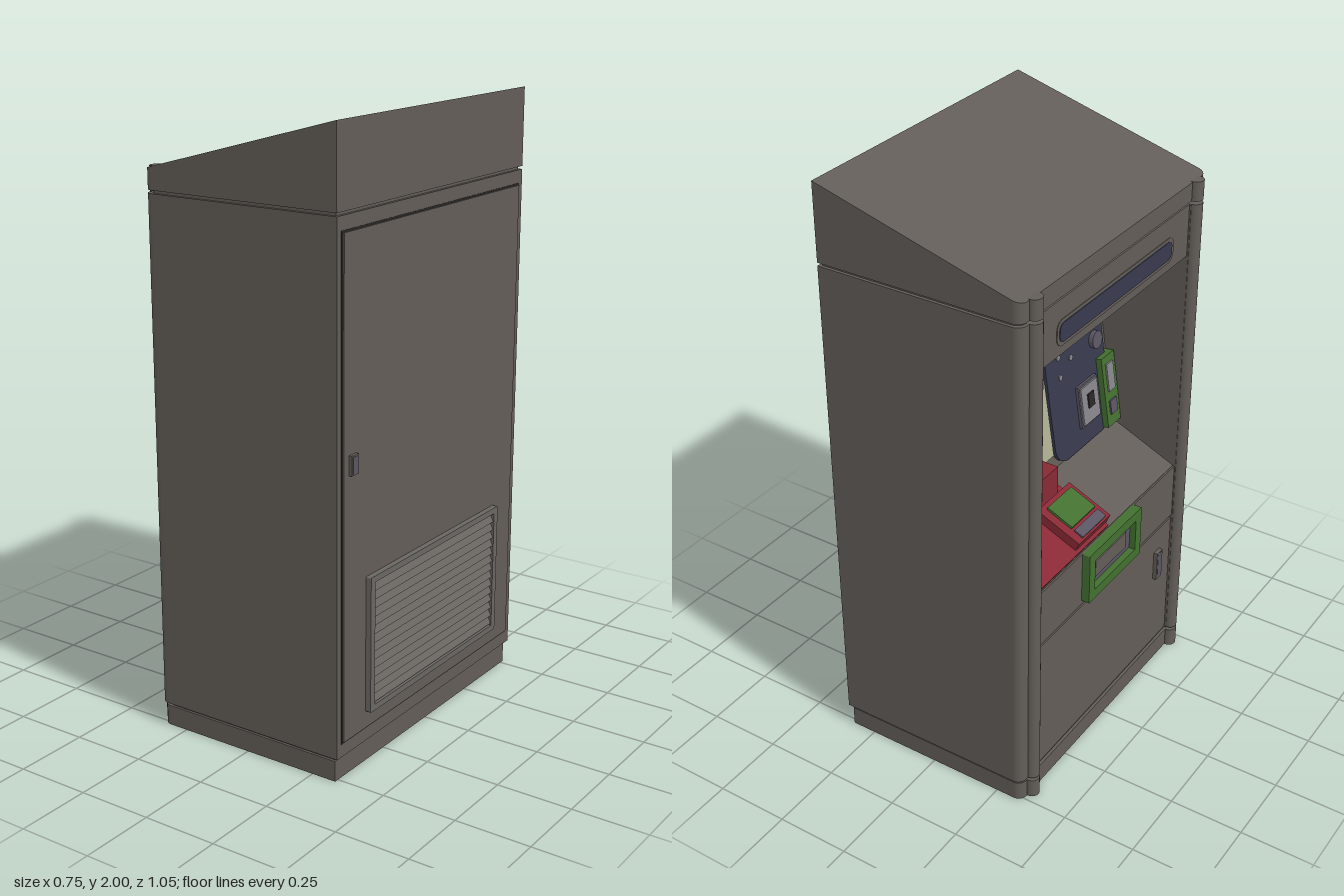
import * as THREE from 'three';

const mat = (name, color) => {
  const m = new THREE.MeshStandardMaterial({ color });
  m.name = name;
  return m;
};

export function createModel() {
  const grey = mat('cabinet grey', 0x625d58);
  const ventGrey = mat('vent grey', 0x6a6762);
  const steel = mat('fitting steel', 0x85858a);
  const dark = mat('seam dark', 0x2a2927);
  const navy = mat('panel navy', 0x383a4e);
  const red = mat('counter red', 0x882a35);
  const green = mat('trim green', 0x437030);
  const cream = mat('screen cream', 0xb0b094);
  const mauve = mat('slot mauve', 0x5a5562);
  const root = new THREE.Group();

  const add = (parent, name, geo, m, x = 0, y = 0, z = 0) => {
    const mesh = new THREE.Mesh(geo, m);
    mesh.name = name;
    mesh.position.set(x, y, z);
    parent.add(mesh);
    return mesh;
  };
  // box resting on the local z = base plane
  const plate = (parent, name, m, w, h, d, x, y, base = 0) =>
    add(parent, name, new THREE.BoxGeometry(w, h, d), m, x, y, base + d / 2);
  // a working plane: local x runs across, local y up the surface, local z outward
  const surface = (name, x, y, turn, tilt = 0) => {
    const g = new THREE.Group();
    g.name = name;
    g.position.set(x, y, 0);
    g.rotation.set(-tilt, turn, 0, 'YXZ');
    root.add(g);
    return g;
  };
  const roundRect = (w, h, r) => {
    const s = new THREE.Shape(), a = w / 2, b = h / 2;
    s.moveTo(-a + r, -b);
    s.lineTo(a - r, -b);
    s.absarc(a - r, -b + r, r, -Math.PI / 2, 0);
    s.lineTo(a, b - r);
    s.absarc(a - r, b - r, r, 0, Math.PI / 2);
    s.lineTo(-a + r, b);
    s.absarc(-a + r, b - r, r, Math.PI / 2, Math.PI);
    s.lineTo(-a, -b + r);
    s.absarc(-a + r, -b + r, r, Math.PI, Math.PI * 1.5);
    return s;
  };
  const rectPath = (w, h) => {
    const a = w / 2, b = h / 2;
    return new THREE.Path([[-a, -b], [-a, b], [a, b], [a, -b]].map(p => new THREE.Vector2(...p)));
  };
  const extrude = (shape, depth) =>
    new THREE.ExtrudeGeometry(shape, { depth, bevelEnabled: false, curveSegments: 8 });
  const frame = (parent, name, m, w, h, iw, ih, d, x, y) => {
    const s = roundRect(w, h, 0.004);
    s.holes.push(rectPath(iw, ih));
    return add(parent, name, extrude(s, d), m, x, y);
  };

  // floor plan with rounded corners on the service side; optional bay cut into that side
  const plan = (x0, x1, hz, r, bay) => {
    const s = new THREE.Shape();
    s.moveTo(x1, -hz);
    s.lineTo(x1, hz);
    s.lineTo(x0 + r, hz);
    s.absarc(x0 + r, hz - r, r, Math.PI / 2, Math.PI);
    if (bay) [[x0, bay.z], [bay.x, bay.z], [bay.x, -bay.z], [x0, -bay.z]].forEach(p => s.lineTo(...p));
    s.lineTo(x0, -hz + r);
    s.absarc(x0 + r, -hz + r, r, Math.PI, Math.PI * 1.5);
    s.lineTo(x1, -hz);
    return s;
  };
  const upright = (shape, y0, y1) => {
    const g = extrude(shape, y1 - y0);
    g.rotateX(-Math.PI / 2);
    return g.translate(0, y0, 0);
  };

  // hollow plinth and recessed gaps
  const plinth = plan(-0.345, 0.335, 0.515, 0.03);
  plinth.holes.push(rectPath(0.58, 0.93));
  add(root, 'plinth', upright(plinth, 0, 0.068), grey);
  add(root, 'lowerGap', upright(plan(-0.335, 0.33, 0.507, 0.03), 0.06, 0.085), grey);
  add(root, 'upperGap', upright(plan(-0.338, 0.338, 0.513, 0.03), 1.73, 1.755), grey);

  // shell with open bay
  const outer = [-0.348, 0.348, 0.523, 0.03];
  add(root, 'shell', upright(plan(...outer, { x: 0.02, z: 0.43 }), 0.08, 1.737), grey);

  // roof cap, top moved onto a slope
  const cap = upright(plan(...outer), 1.747, 1.9);
  const p = cap.attributes.position;
  for (let i = 0; i < p.count; i++)
    if (p.getY(i) > 1.8) p.setY(i, 1.81 + (p.getX(i) + 0.348) * (0.19 / 0.696));
  cap.computeVertexNormals();
  add(root, 'roofCap', cap, grey);

  // corner posts in three lengths
  for (const side of [-1, 1])
    for (const [y0, y1] of [[0, 0.068], [0.08, 1.737], [1.747, 1.812]])
      add(root, 'cornerPost', new THREE.CylinderGeometry(0.025, 0.025, y1 - y0, 24), grey,
        -0.348, (y0 + y1) / 2, side * 0.457);

  // inner cabinet: front, sloping counter, leaning back panel
  const profile = new THREE.Shape([[-0.338, 0.08], [0.03, 0.08], [0.03, 1.56], [0, 1.56],
    [-0.1, 0.88], [-0.338, 0.775]].map(q => new THREE.Vector2(...q)));
  add(root, 'counterCabinet', extrude(profile, 0.86), grey, 0, 0, -0.43);

  // service front: door, handle, tray, sign
  const front = surface('serviceFront', -0.338, 0, -Math.PI / 2);
  plate(front, 'lowerDoor', grey, 0.85, 0.478, 0.006, 0, 0.326);
  plate(front, 'upperApron', grey, 0.86, 0.2, 0.006, 0, 0.673);
  plate(front, 'handleRim', grey, 0.036, 0.11, 0.02, 0.333, 0.425);
  plate(front, 'handle', mauve, 0.026, 0.098, 0.021, 0.333, 0.425);
  frame(front, 'trayFrame', green, 0.325, 0.186, 0.255, 0.115, 0.034, -0.002, 0.68);
  plate(front, 'trayBack', mauve, 0.26, 0.12, 0.012, -0.002, 0.68);
  plate(front, 'trayFlap', grey, 0.19, 0.06, 0.016, -0.002, 0.675);
  add(root, 'signBox', new THREE.BoxGeometry(0.37, 0.177, 0.86), grey, -0.158, 1.6485, 0);
  add(front, 'signRim', extrude(roundRect(0.67, 0.085, 0.03), 0.007), grey, 0, 1.63, 0);
  add(front, 'signDisplay', extrude(roundRect(0.645, 0.062, 0.022), 0.009), navy, 0, 1.63, 0);

  // sloping counter
  const counter = surface('counter', -0.338, 0.775, -Math.PI / 2, Math.atan2(0.238, 0.105));
  plate(counter, 'redCounter', red, 0.43, 0.255, 0.008, -0.213, 0.13);
  plate(counter, 'keypadBase', red, 0.19, 0.17, 0.04, -0.085, 0.1);
  plate(counter, 'keypadStrip', mauve, 0.14, 0.035, 0.006, -0.08, 0.04, 0.04);
  plate(counter, 'keypad', green, 0.14, 0.1, 0.009, -0.08, 0.118, 0.04);
  add(root, 'redStep', new THREE.BoxGeometry(0.11, 0.13, 0.4), red, -0.11, 0.895, -0.228);

  // leaning panel: screen, payment panel, reader
  const back = surface('backPanel', -0.1, 0.88, -Math.PI / 2, Math.atan2(0.1, 0.68));
  plate(back, 'screen', cream, 0.465, 0.5, 0.014, -0.19, 0.31);
  add(back, 'paymentPanel', extrude(roundRect(0.345, 0.56, 0.07), 0.014), navy, 0.228, 0.285, 0);
  plate(back, 'coinRim', mauve, 0.115, 0.15, 0.012, 0.265, 0.15, 0.012);
  plate(back, 'coinPlate', steel, 0.1, 0.135, 0.018, 0.265, 0.15, 0.012);
  plate(back, 'coinSlot', dark, 0.035, 0.05, 0.005, 0.265, 0.16, 0.03);
  const knob = new THREE.CylinderGeometry(0.03, 0.03, 0.02, 20).rotateX(Math.PI / 2);
  add(back, 'knob', knob, mauve, 0.345, 0.34, 0.02);
  for (const [x, y] of [[0.13, 0.3], [0.13, 0.37], [0.2, 0.34]])
    add(back, 'button', new THREE.CylinderGeometry(0.01, 0.01, 0.012, 12).rotateX(Math.PI / 2),
      steel, x, y, 0.012);
  plate(back, 'cardReader', green, 0.08, 0.255, 0.035, 0.385, 0.14);
  plate(back, 'readerFace', steel, 0.04, 0.1, 0.006, 0.385, 0.19, 0.035);
  plate(back, 'readerSlot', mauve, 0.04, 0.05, 0.006, 0.385, 0.08, 0.035);

  // maintenance side: door, lock, louvred vent
  const rear = surface('maintenanceSide', 0.348, 0, Math.PI / 2);
  plate(rear, 'rearDoorSeam', dark, 1.003, 1.572, 0.001, 0, 0.909);
  plate(rear, 'rearDoor', grey, 0.991, 1.56, 0.006, 0, 0.909);
  plate(rear, 'lockRim', grey, 0.036, 0.062, 0.016, -0.453, 1.005);
  plate(rear, 'lock', mauve, 0.026, 0.052, 0.018, -0.453, 1.005);
  frame(rear, 'ventFrame', ventGrey, 0.76, 0.445, 0.714, 0.405, 0.025, 0, 0.407);
  plate(rear, 'ventBack', grey, 0.72, 0.41, 0.008, 0, 0.407);
  for (let i = 0; i < 14; i++) {
    const slat = plate(rear, 'ventSlat', ventGrey, 0.714, 0.027, 0.004, 0, 0.223 + i * 0.0283, 0.013);
    slat.rotation.x = -0.45;
  }
  return root;
}
